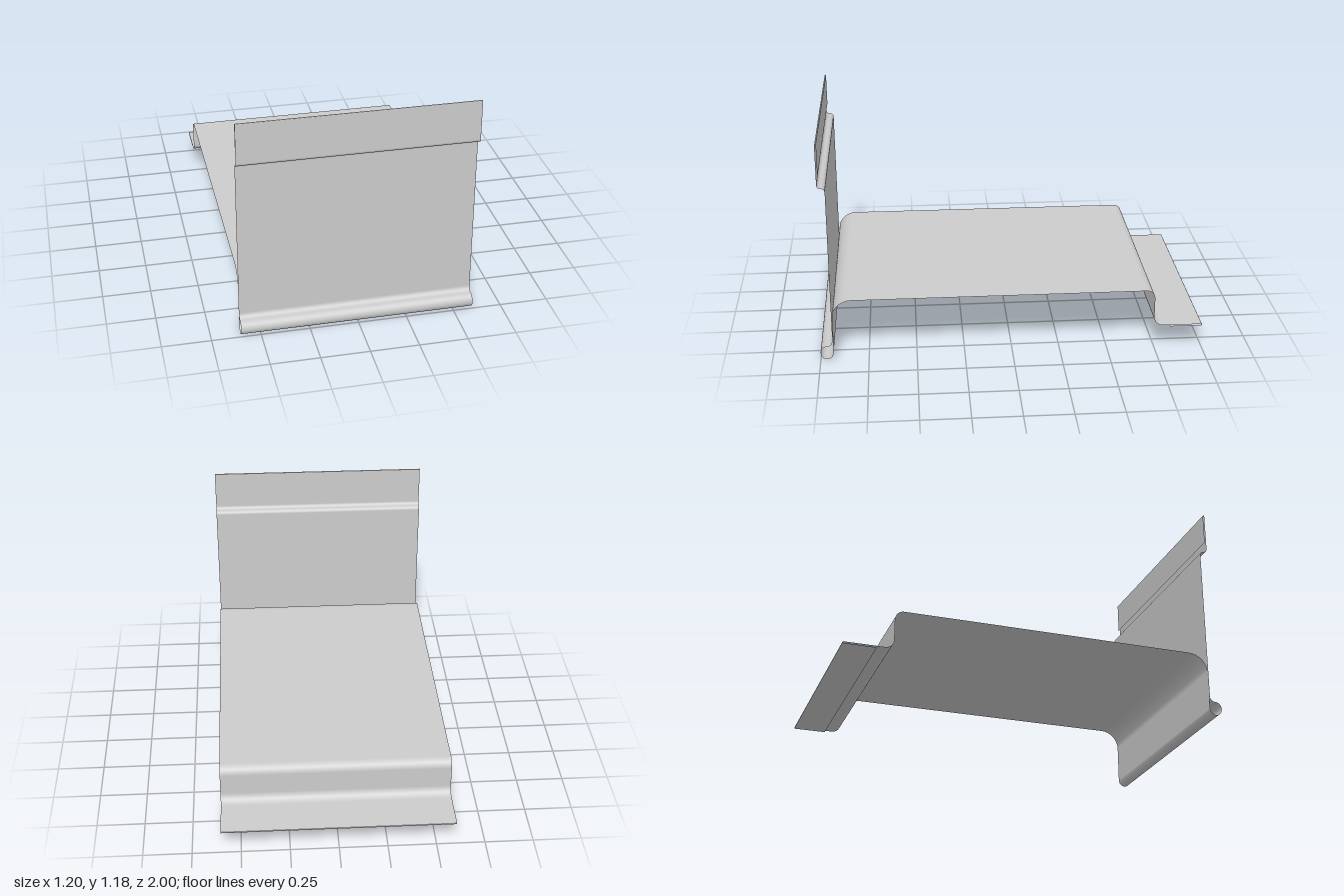
import * as THREE from 'three';

const HALF_WIDTH = 0.6;
const PI = Math.PI;

// Sweeps an open (z, y) profile across the width as a thin sheet
function sheet(name, path, material) {
  const points = path.getPoints(8).filter((p, i, all) => i === 0 || p.distanceTo(all[i - 1]) > 1e-5);
  const positions = [];
  const index = [];
  points.forEach((p, i) => {
    positions.push(-HALF_WIDTH, p.y, p.x, HALF_WIDTH, p.y, p.x);
    if (i > 0) {
      const a = 2 * i - 2;
      index.push(a, a + 2, a + 1, a + 1, a + 2, a + 3);
    }
  });
  const geometry = new THREE.BufferGeometry();
  geometry.setAttribute('position', new THREE.Float32BufferAttribute(positions, 3));
  geometry.setIndex(index);
  geometry.computeVertexNormals();
  const mesh = new THREE.Mesh(geometry, material);
  mesh.name = name;
  return mesh;
}

export function createModel() {
  const metal = new THREE.MeshStandardMaterial({ color: 0xcccccc, side: THREE.DoubleSide });
  metal.name = 'sheet metal';

  // Upright front wall: hem folded to the back, joggle, straight drop
  const wall = new THREE.Path();
  wall.moveTo(0.969, 1.01);
  wall.lineTo(0.969, 1.176);
  wall.absarc(0.973, 1.176, 0.004, PI, 0, true);
  wall.lineTo(0.977, 0.97);
  wall.absarc(0.957, 0.97, 0.02, 0, -PI / 2, true);
  wall.absarc(0.957, 0.93, 0.02, PI / 2, PI, false);
  wall.lineTo(0.937, 0.3);

  // Rolled bead along the bottom, returning up behind the wall
  const bead = new THREE.Path();
  bead.moveTo(0.937, 0.3);
  bead.lineTo(0.937, 0.1);
  bead.absarc(0.964, 0.1, 0.027, PI, 1.5 * PI, false);
  bead.absellipse(0.9665, 0.0365, 0.0335, 0.0365, PI / 2, -PI, true);
  bead.lineTo(0.933, 0.15);

  // Large bend into the flat deck
  const deck = new THREE.Path();
  deck.moveTo(0.933, 0.15);
  deck.lineTo(0.933, 0.233);
  deck.absarc(0.833, 0.233, 0.1, 0, PI / 2, false);
  deck.lineTo(-0.6, 0.333);

  // Step down to the rear flange with a hem folded underneath
  const flange = new THREE.Path();
  flange.moveTo(-0.6, 0.333);
  flange.lineTo(-0.7, 0.333);
  flange.absarc(-0.7, 0.288, 0.045, PI / 2, PI, false);
  flange.lineTo(-0.745, 0.176);
  flange.absarc(-0.79, 0.176, 0.045, 0, -PI / 2, true);
  flange.lineTo(-0.996, 0.131);
  flange.absarc(-0.996, 0.127, 0.004, PI / 2, 1.5 * PI, false);
  flange.lineTo(-0.83, 0.123);

  const model = new THREE.Group();
  model.name = 'foldedSheetProfile';
  model.add(
    sheet('frontWall', wall, metal),
    sheet('rolledBead', bead, metal),
    sheet('deck', deck, metal),
    sheet('rearFlange', flange, metal),
  );
  return model;
}
